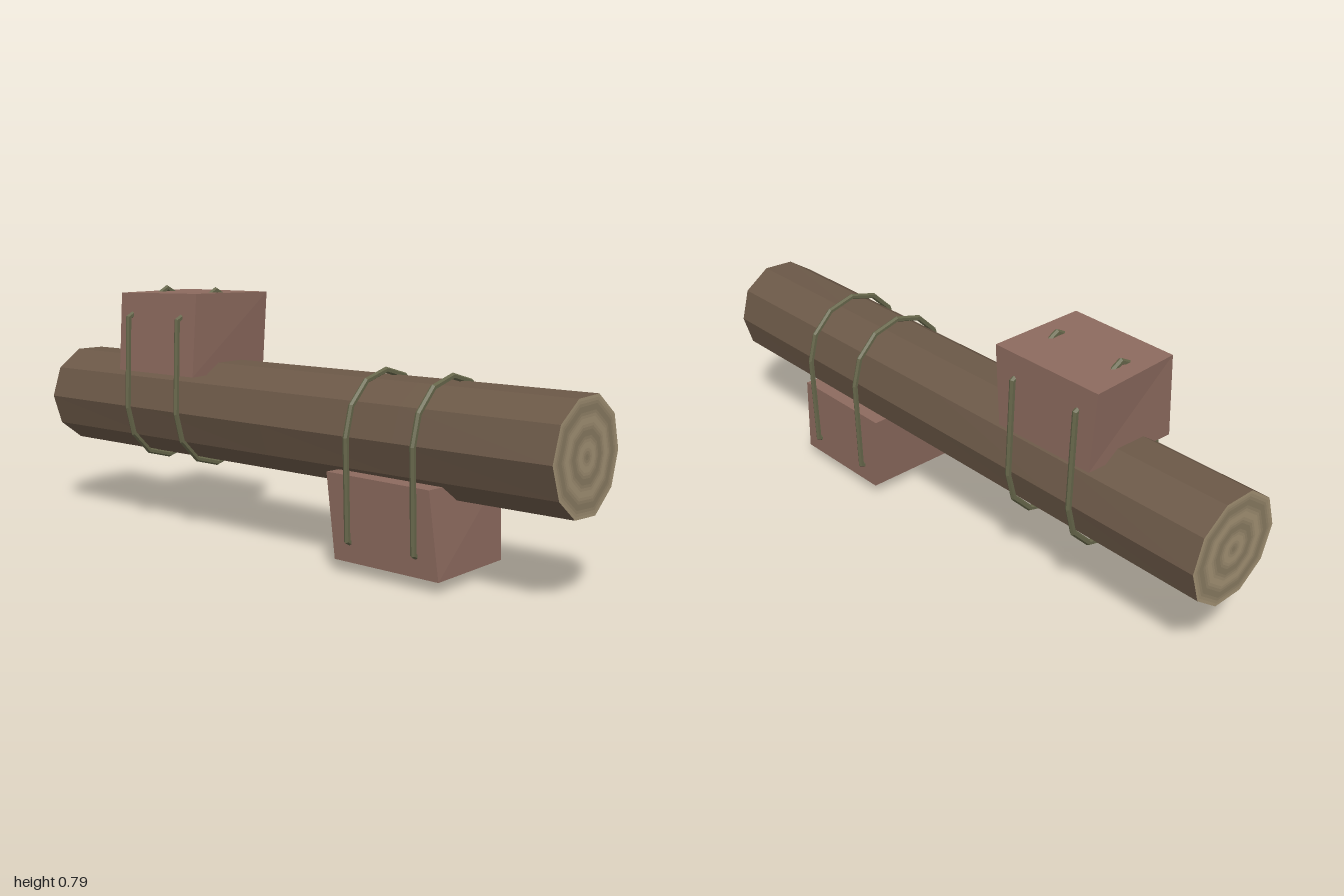
import * as THREE from 'three';

const LOG_Y = 0.397, LOG_R = 0.166, SIDES = 10;

const mat = (color, extra = {}) => new THREE.MeshStandardMaterial({ color, flatShading: true, ...extra });

function addMesh(parent, name, geometry, material) {
  const mesh = new THREE.Mesh(geometry, material);
  mesh.name = name;
  parent.add(mesh);
  return mesh;
}

// Slightly uneven girth for the log and its cut ends
function wobble(geo) {
  const p = geo.attributes.position;
  for (let i = 0; i < p.count; i++) {
    const x = p.getX(i), y = p.getY(i), z = p.getZ(i);
    const s = 1 + 0.02 * (0.6 + 0.4 * x) * Math.cos(3 * (Math.atan2(y, z) + 1.885));
    p.setXYZ(i, x, y * s, z * s);
  }
  geo.computeVertexNormals();
  return geo;
}

// Hand-hewn block: a box whose corners are placed one by one (x, then y, then z sign)
function blockGeometry(corners) {
  const geo = new THREE.BoxGeometry(1, 1, 1);
  const p = geo.attributes.position;
  for (let i = 0; i < p.count; i++) {
    const k = (p.getX(i) > 0 ? 4 : 0) + (p.getY(i) > 0 ? 2 : 0) + (p.getZ(i) > 0 ? 1 : 0);
    p.setXYZ(i, ...corners[k]);
  }
  geo.computeVertexNormals();
  return geo;
}

// Closed rope loop in the zy plane with mitred corners; path runs counter-clockwise as [z, y]
function ropeGeometry(path, r, sides = 6) {
  const n = path.length, pos = [], index = [];
  const pts = path.map(([z, y]) => new THREE.Vector2(z, y));
  for (let i = 0; i < n; i++) {
    const a = pts[i].clone().sub(pts[(i + n - 1) % n]).normalize();
    const b = pts[(i + 1) % n].clone().sub(pts[i]).normalize();
    const t = a.clone().add(b).normalize();
    const mitre = 1 / t.dot(b);
    for (let j = 0; j < sides; j++) {
      const ang = (j / sides) * Math.PI * 2;
      const out = Math.cos(ang) * r * mitre;
      pos.push(Math.sin(ang) * r, pts[i].y - t.x * out, pts[i].x + t.y * out);
      const j2 = (j + 1) % sides, i2 = (i + 1) % n;
      const p = i * sides + j, q = i2 * sides + j, s = i2 * sides + j2, u = i * sides + j2;
      index.push(p, q, s, p, s, u);
    }
  }
  const geo = new THREE.BufferGeometry();
  geo.setAttribute('position', new THREE.Float32BufferAttribute(pos, 3));
  geo.setIndex(index);
  geo.computeVertexNormals();
  return geo;
}

export function createModel() {
  const model = new THREE.Group();
  model.name = 'logWithLashedBlocks';
  const bark = mat(0x6b5847), wood = mat(0x8c6a5e);
  const rope = mat(0x66664a, { side: THREE.DoubleSide });

  // Log
  const log = new THREE.Group();
  log.name = 'log';
  log.position.y = LOG_Y;
  model.add(log);
  const trunk = new THREE.CylinderGeometry(LOG_R, LOG_R, 2, SIDES, 4, true).rotateZ(Math.PI / 2);
  addMesh(log, 'bark', wobble(trunk), bark);

  // Cut ends with soft growth rings
  const light = new THREE.Color(0xa39274), dark = new THREE.Color(0x877960);
  const bands = 20;
  for (const side of [-1, 1]) {
    const end = new THREE.Group();
    end.name = side > 0 ? 'leftCutEnd' : 'rightCutEnd';
    log.add(end);
    for (let i = 0; i < bands; i++) {
      const mix = 0.5 - 0.5 * Math.cos(((i + 0.5) / bands) * Math.PI * 5);
      const ring = new THREE.RingGeometry((i / bands) * LOG_R, ((i + 1) / bands) * LOG_R, SIDES, 1);
      ring.rotateY(side * Math.PI / 2).translate(side, 0, 0);
      addMesh(end, 'growthRing', wobble(ring), mat(dark.clone().lerp(light, mix)));
    }
  }

  // Blocks above and below the log
  addMesh(model, 'upperBlock', blockGeometry([
    [-0.635, 0.525, -0.16], [-0.64, 0.515, 0.163], [-0.655, 0.77, -0.163], [-0.64, 0.768, 0.148],
    [-0.295, 0.525, -0.16], [-0.29, 0.515, 0.163], [-0.28, 0.772, -0.163], [-0.285, 0.775, 0.148],
  ]), wood);
  addMesh(model, 'lowerBlock', blockGeometry([
    [0.29, 0.037, -0.157], [0.29, 0.035, 0.155], [0.27, 0.285, -0.16], [0.27, 0.29, 0.17],
    [0.65, 0.035, -0.157], [0.655, 0.033, 0.155], [0.64, 0.285, -0.16], [0.63, 0.285, 0.17],
  ]), wood);

  // Rope loops: half a ring round the log, then straight runs to a peak over the block
  const path = [];
  for (let i = 0; i <= 6; i++) {
    const a = (i / 6) * Math.PI;
    path.push([0.178 * Math.cos(a), 0.178 * Math.sin(a)]);
  }
  path.push([-0.168, -0.295], [0, -0.385], [0.168, -0.295]);
  const loop = ropeGeometry(path, 0.009);
  for (const [x, name] of [[-0.585, 'upperRope'], [-0.352, 'upperRope'], [0.347, 'lowerRope'], [0.58, 'lowerRope']]) {
    const mesh = addMesh(model, name, loop, rope);
    mesh.position.set(x, 0.395, 0);
    if (x < 0) mesh.rotation.x = Math.PI;
  }
  return model;
}
